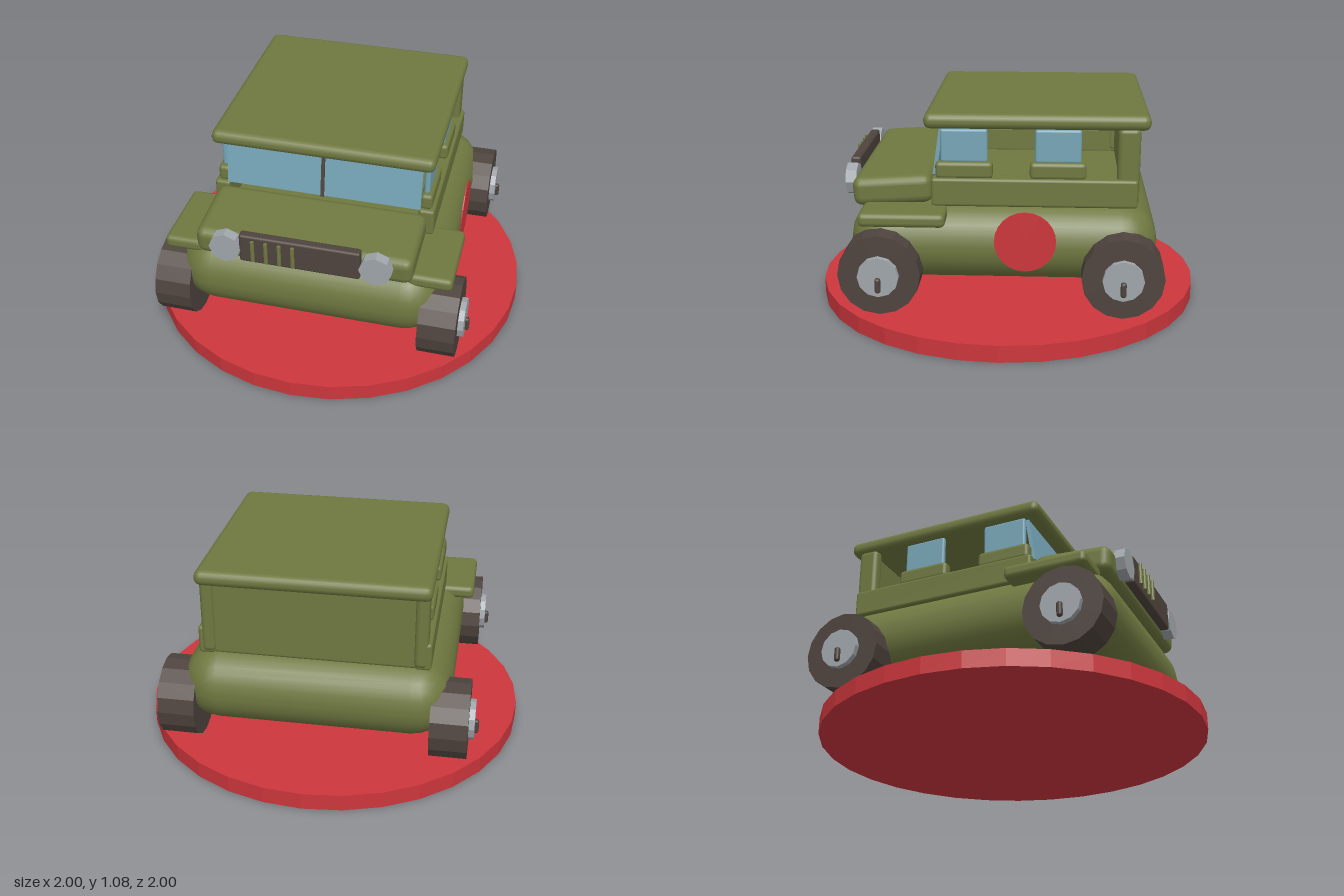
import * as THREE from 'three';
import { RoundedBoxGeometry } from 'three/addons/geometries/RoundedBoxGeometry.js';
import { toCreasedNormals } from 'three/addons/utils/BufferGeometryUtils.js';

function material(name, color) {
  const m = new THREE.MeshStandardMaterial({ color });
  m.name = name;
  return m;
}

export function createModel() {
  const olive = material('olive paint', 0x6f7840);
  const red = material('red', 0xcc363c);
  const rubber = material('dark rubber', 0x4f443e);
  const metal = material('grey metal', 0xa0a6ab);
  const glass = material('blue glass', 0x76a5b7);

  const model = new THREE.Group();
  model.name = 'jeep on stand';

  function add(name, geometry, mat, x, y, z, parent = model) {
    const mesh = new THREE.Mesh(geometry, mat);
    mesh.name = name;
    mesh.position.set(x, y, z);
    parent.add(mesh);
    return mesh;
  }

  // Rounded box given by its min and max along each axis
  function slab(name, mat, [x0, x1], [y0, y1], [z0, z1], radius = 0.02, segments = 2) {
    const geometry = new RoundedBoxGeometry(x1 - x0, y1 - y0, z1 - z0, segments, radius);
    return add(name, geometry, mat, (x0 + x1) / 2, (y0 + y1) / 2, (z0 + z1) / 2);
  }

  // Slab repeated on both sides of the car
  function pair(name, mat, [x0, x1], y, z, radius) {
    slab(name + 'Left', mat, [x0, x1], y, z, radius);
    slab(name + 'Right', mat, [-x1, -x0], y, z, radius);
  }

  // Faceted disc with its axis along x, y or z
  function disc(radius, length, sides, axis) {
    const g = new THREE.CylinderGeometry(radius, radius, length, sides);
    if (axis === 'x') g.rotateZ(Math.PI / 2);
    if (axis === 'z') g.rotateY(Math.PI / 2).rotateX(Math.PI / 2);
    return toCreasedNormals(g, 0.1);
  }

  // Round stand
  add('stand', disc(1, 0.086, 32, 'y'), red, 0, 0.043, 0);

  // Lower body, bonnet and mudguards
  slab('lowerBody', olive, [-0.67, 0.67], [0.24, 0.63], [-0.76, 0.76], 0.19, 3);
  const bonnet = slab('bonnet', olive, [-0.54, 0.54], [0.61, 0.755], [0.35, 0.745], 0.045);
  bonnet.rotation.x = 0.065;
  pair('mudguard', olive, [0.5, 0.725], [0.557, 0.625], [0.27, 0.69], 0.025);

  // Cabin: side rails, sills, rear posts and panel, roof
  pair('sideRail', olive, [0.49, 0.57], [0.62, 0.762], [-0.655, 0.35], 0.015);
  pair('rearPost', olive, [0.485, 0.552], [0.63, 1.015], [-0.663, -0.553], 0.025);
  slab('rearPanel', olive, [-0.5, 0.5], [0.62, 1.01], [-0.645, -0.59], 0.015);
  slab('roof', olive, [-0.565, 0.565], [1.003, 1.08], [-0.71, 0.385], 0.035);
  for (const [end, z0, z1] of [['front', 0.05, 0.33], ['rear', -0.405, -0.13]]) {
    pair(end + 'Sill', olive, [0.493, 0.555], [0.755, 0.84], [z0, z1], 0.02);
    pair(end + 'Window', glass, [0.507, 0.535], [0.835, 1.0], [z0 + 0.025, z1 - 0.025], 0.012);
  }

  // Leaning windscreen with a central divider
  const windscreen = new THREE.Group();
  windscreen.name = 'windscreen';
  windscreen.position.set(0, 0.885, 0.32);
  windscreen.rotation.x = -0.15;
  model.add(windscreen);
  for (const s of [1, -1]) {
    add('windscreenPane', new THREE.BoxGeometry(0.495, 0.245, 0.02), glass, s * 0.2525, 0, 0, windscreen);
  }
  add('windscreenDivider', new THREE.BoxGeometry(0.018, 0.25, 0.03), rubber, 0, 0, 0.003, windscreen);

  // Grille, bars and headlights
  slab('grille', rubber, [-0.297, 0.297], [0.635, 0.79], [0.74, 0.79], 0.012);
  for (let i = 0; i < 4; i++) {
    add('grilleBar', disc(0.01, 0.115, 8, 'y'), olive, -0.225 + i * 0.066, 0.715, 0.802);
  }
  for (const s of [1, -1]) {
    add('headlight', disc(0.08, 0.055, 8, 'z'), metal, s * 0.37, 0.7, 0.765);
  }

  // Wheels with hubs and a small stud
  for (const s of [1, -1]) {
    for (const z of [0.588, -0.585]) {
      const wheel = new THREE.Group();
      wheel.name = (z > 0 ? 'front' : 'rear') + 'Wheel' + (s > 0 ? 'Left' : 'Right');
      wheel.position.set(0, 0.33, z);
      add('tyre', disc(0.2, 0.185, 16, 'x'), rubber, s * 0.672, 0, 0, wheel);
      add('hub', disc(0.1, 0.05, 12, 'x'), metal, s * 0.768, 0, 0, wheel);
      add('hubStud', new RoundedBoxGeometry(0.03, 0.075, 0.028, 2, 0.012), rubber, s * 0.798, -0.038, 0, wheel);
      model.add(wheel);
    }
  }

  // Red roundel on the left flank
  add('sideRoundel', disc(0.15, 0.006, 24, 'x'), red, 0.674, 0.48, -0.113);

  return model;
}
